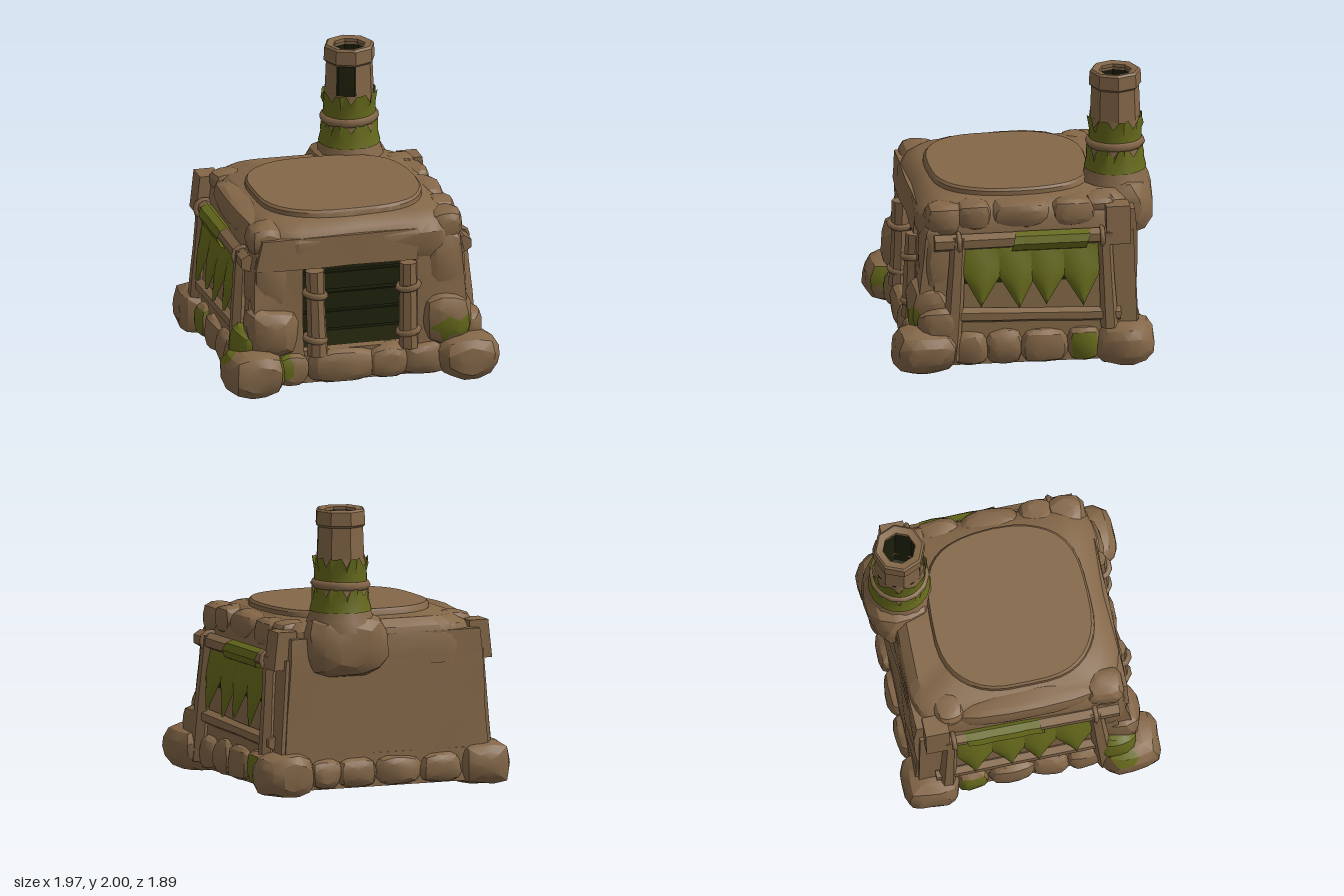
import * as THREE from 'three';
import { toCreasedNormals, mergeVertices } from 'three/addons/utils/BufferGeometryUtils.js';

const mat = (name, color) => new THREE.MeshStandardMaterial({ name, color, side: THREE.DoubleSide });

export function createModel() {
  const group = new THREE.Group();
  const stone = mat('brown stone', 0x846748);
  const leaf = mat('moss green', 0x666a1b);
  const dark = mat('dark interior', 0x1f210c);

  const add = (name, geo, material = stone) => {
    const m = new THREE.Mesh(geo, material);
    m.name = name;
    group.add(m);
    return m;
  };
  const crease = (g, a = 0.55) => toCreasedNormals(g, a);
  const wobble = (x, y, z, s) => Math.sin(9 * x + s) * Math.sin(8 * y + 2 * s) + Math.sin(10 * z + 3 * s) * Math.cos(7 * x - s);
  const warp = (g, rule) => {
    const p = g.attributes.position, v = new THREE.Vector3();
    for (let i = 0; i < p.count; i++) {
      rule(v.fromBufferAttribute(p, i));
      p.setXYZ(i, v.x, v.y, v.z);
    }
    return g;
  };

  // Squarish boulder, flattened at floor, with an optional mossy region
  const rock = (name, c, r, seed, floor = 0, moss = null) => {
    const g = warp(new THREE.IcosahedronGeometry(1, 2), v => {
      const n = Math.cbrt(Math.abs(v.x) ** 3 + Math.abs(v.y) ** 3 + Math.abs(v.z) ** 3);
      v.divideScalar(n);
      v.multiplyScalar(0.97 + 0.05 * wobble(v.x * 0.4, v.y * 0.4, v.z * 0.4, seed));
      v.set(c[0] + v.x * r[0], Math.max(floor, c[1] + v.y * r[1]), c[2] + v.z * r[2]);
    });
    const geo = crease(g, 0.4);
    if (!moss) return add(name, geo);
    const p = geo.attributes.position, a = new THREE.Vector3(), b = new THREE.Vector3();
    for (let i = 0; i < p.count; i += 3) {
      a.set(0, 0, 0);
      for (let k = 0; k < 3; k++) a.add(b.fromBufferAttribute(p, i + k));
      geo.addGroup(i, 3, moss(a.divideScalar(3)) ? 1 : 0);
    }
    return add(name, geo, [stone, leaf]);
  };

  // Rough timber between two points
  const log = (name, from, to, r, seed = 1, sides = 7) => {
    const a = new THREE.Vector3(...from), b = new THREE.Vector3(...to), d = b.clone().sub(a);
    const g = warp(new THREE.CylinderGeometry(r * 0.92, r, d.length(), sides, 4), v => {
      const k = 1 + 0.07 * wobble(v.x, v.y, v.z, seed);
      v.x *= k; v.z *= k;
    });
    const m = add(name, crease(g));
    m.position.copy(a).add(b).multiplyScalar(0.5);
    m.quaternion.setFromUnitVectors(new THREE.Vector3(0, 1, 0), d.normalize());
    return m;
  };

  // Box leaning between bottom and top rectangles [x0, x1, z0, z1]
  const slab = (name, y0, y1, bot, top, rough = 0) => {
    const mix = THREE.MathUtils.lerp;
    const g = warp(new THREE.BoxGeometry(1, 1, 1, 5, 5, 5), v => {
      const t = v.y + 0.5, q = bot.map((n, i) => mix(n, top[i], t));
      v.set(mix(q[0], q[1], v.x + 0.5), mix(y0, y1, t), mix(q[2], q[3], v.z + 0.5));
      v.z += rough * wobble(v.x, v.y, 0, 2);
    });
    return add(name, crease(g));
  };

  // Stacked rounded-square sections [y, halfX, zBack, zFront]
  const loft = (name, rows, e, rough, n = 40) => {
    const pos = [], idx = [];
    const pw = c => Math.sign(c) * Math.abs(c) ** e;
    const ring = rows.length;
    rows.forEach(([y, hx, zb, zf]) => {
      for (let i = 0; i < n; i++) {
        const a = i / n * Math.PI * 2, x = hx * pw(Math.cos(a)), z = (zb + zf) / 2 + (zf - zb) / 2 * pw(Math.sin(a));
        const k = 1 + rough * wobble(x, y, z, 1.3);
        pos.push(x * k, y, z * k);
      }
    });
    for (let j = 0; j < ring - 1; j++) for (let i = 0; i < n; i++) {
      const a = j * n + i, b = j * n + (i + 1) % n;
      idx.push(a, a + n, b, b, a + n, b + n);
    }
    for (const [j, up] of [[0, 0], [ring - 1, 1]]) {
      const c = pos.length / 3;
      pos.push(0, rows[j][0], (rows[j][2] + rows[j][3]) / 2);
      for (let i = 0; i < n; i++) {
        const a = j * n + i, b = j * n + (i + 1) % n;
        idx.push(...(up ? [c, b, a] : [c, a, b]));
      }
    }
    const g = new THREE.BufferGeometry();
    g.setAttribute('position', new THREE.Float32BufferAttribute(pos, 3));
    g.setIndex(idx);
    return add(name, crease(mergeVertices(g), 0.6));
  };

  // Floor, back wall, roof mass and flat roof stone
  slab('floor', 0.035, 0.27, [-0.82, 0.82, -0.81, 0.74], [-0.8, 0.8, -0.8, 0.74]);
  slab('backWall', 0.2, 1.1, [-0.78, 0.78, -0.8, -0.62], [-0.72, 0.72, -0.78, -0.6], 0.016);
  loft('roofMass', [[0.875, 0.775, -0.79, 0.71], [0.95, 0.775, -0.79, 0.735], [1.07, 0.76, -0.79, 0.735],
    [1.14, 0.72, -0.77, 0.69], [1.195, 0.63, -0.7, 0.6]], 0.3, 0.016);
  loft('roofStone', [[1.15, 0.6, -0.54, 0.61], [1.225, 0.595, -0.53, 0.6], [1.242, 0.58, -0.52, 0.585]], 0.72, 0.01);

  // Dark alcove, open to the front, with boards across the rear
  const room = new THREE.BoxGeometry(0.816, 0.595, 0.3);
  room.setIndex([...room.index.array].filter((_, i) => i < 24 || i > 29));
  add('alcove', room, dark).position.set(0, 0.5725, 0.53);
  for (let i = 0; i < 4; i++)
    add('rearBoard', new THREE.BoxGeometry(0.8, 0.12, 0.02), dark).position.set(0, 0.36 + i * 0.145, 0.395 + 0.01 * (i % 2));

  for (const s of [-1, 1]) {
    const X = (a, b) => s > 0 ? [a, b] : [-b, -a];
    // Side wall and front wall beside the doorway
    slab('sideWall', 0.2, 0.95, [...X(0.5, 0.81), -0.78, 0.66], [...X(0.5, 0.755), -0.76, 0.64]);
    slab('frontWall', 0.2, 0.95, [...X(0.41, 0.79), 0.45, 0.77], [...X(0.41, 0.745), 0.45, 0.71], 0.014);
    rock('frontBulge', [s * 0.63, 0.42, 0.66], [0.2, 0.2, 0.17], 2 + s, 0, v => v.y > 0.3 && v.y < 0.43 && v.z > 0.7 && s * v.x > 0.53 && s > 0);
    rock('cornerStone', [s * 0.62, 0.78, 0.6], [0.17, 0.3, 0.14], 4 + s);
    rock('shoulder', [s * 0.65, 1.07, 0.57], [0.13, 0.12, 0.14], 5 + s);
    rock('frontFlank', [s * 0.785, 0.34, 0.62], [0.12, 0.13, 0.15], 6 + s, 0, v => s < 0 && v.y > 0.22);

    // Foundation boulders
    rock('frontFoot', [s * 0.765, 0.15, 0.72], [0.22, 0.175, 0.23], 1 + s, 0,
      v => s < 0 && ((v.x > -0.61 && v.y > 0.12 && v.y < 0.27) || (v.x < -0.82 && v.y > 0.23 && v.z < 0.74)));
    rock('backFoot', [s * 0.75, 0.14, -0.69], [0.21, 0.17, 0.21], 8 + s);
    [[0.4, 0.13], [0.16, 0.14], [-0.12, 0.17], [-0.4, 0.12]].forEach(([z, w], i) =>
      rock('sideFootStone', [s * 0.78, 0.15, z], [0.1, 0.13, w], i + 3 * s, 0.035, v => i === 3 && Math.abs(v.z + 0.4) < 0.09 && v.y < 0.24));

    // Timber frame of the side window
    log('sidePostFront', [s * 0.845, 0.08, 0.54], [s * 0.785, 0.97, 0.48], 0.062, 1, 6);
    log('sidePostBack', [s * 0.825, 0.27, -0.58], [s * 0.78, 0.97, -0.55], 0.058, 2, 6);
    log('sideTopRail', [s * 0.78, 0.925, 0.65], [s * 0.78, 0.935, -0.6], 0.062, 3, 6);
    log('sideLowRail', [s * 0.803, 0.4, 0.5], [s * 0.803, 0.36, -0.66], 0.052, 4, 6);
    for (const z of [0.48, -0.53]) {
      const rope = add('railRope', new THREE.TorusGeometry(0.063, 0.018, 5, 10));
      rope.position.set(s * 0.785, 0.93, z);
    }
    slab('cornerBlock', 0.88, 1.15, [...X(0.68, 0.835), -0.73, -0.56], [...X(0.66, 0.805), -0.73, -0.56]);
    const shade = add('windowShade', new THREE.BoxGeometry(0.008, 0.24, 0.85), dark);
    shade.position.set(s * 0.7725, 0.74, 0.015);
    shade.rotation.z = s * 0.073;

    // Hanging leaves, joined above and pointed below
    [0.31, 0.08, -0.15, -0.37].forEach((z0, i) => {
      const g = warp(new THREE.PlaneGeometry(1, 1, 6, 10), v => {
        const t = 0.5 - v.y, w = 0.26 * Math.min(1, 1.9 * (1 - t)) + 0.004;
        const fold = Math.cos(v.x * Math.PI);
        const sway = (i % 2 ? -0.02 : 0.02) * t;
        v.set(s * (0.795 + 0.07 * t + 0.035 * fold * Math.sin(t * 2.6)), 0.885 - (0.41 + 0.02 * (i % 2)) * t, z0 + v.x * w + sway);
      });
      add('hangingLeaf', crease(g, 0.7), leaf);
    });
    const cover = warp(new THREE.CylinderGeometry(0.073, 0.073, 0.53, 8, 6, true), v => {
      v.x *= 1 + 0.06 * Math.sin(v.y * 30);
      v.y += 0.25 * v.z;
    });
    cover.rotateX(Math.PI / 2);
    add('railMoss', crease(cover), leaf).position.set(s * 0.783, 0.92, -0.165);

    // Stones around the roof edge: separate on one side, one long ledge on the other
    (s > 0 ? [[0.36, 0.13], [0.03, 0.22], [-0.34, 0.16]] : [[0.0, 0.5]]).forEach(([z, w], i) =>
      rock('roofEdgeStone', [s * 0.675, 1.095, z], [0.105, 0.105, w], i * 2 + s));
    rock('roofBackStone', [s * 0.62, 1.12, -0.53], [0.12, 0.085, 0.11], 7 + s);

    // Doorway pillars with rope bindings
    const px = s > 0 ? 0.35 : -0.325;
    log('doorPillar', [px + (s < 0 ? 0.015 : 0), 0.24, 0.75], [px, 0.86, 0.73], 0.072, 5 + s, 8);
    for (const y of [0.36, 0.69]) {
      const rope = add('pillarRope', new THREE.TorusGeometry(0.072, 0.025, 5, 10));
      rope.rotation.set(Math.PI / 2, 0.15 * s, 0);
      rope.position.set(px, y, 0.74);
    }
  }

  // Front and rear foundation stones
  [[-0.5, 0.12], [-0.13, 0.27], [0.2, 0.15], [0.45, 0.17]].forEach(([x, w], i) =>
    rock('frontFootStone', [x, 0.15, 0.73], [w, 0.125, 0.1], i + 2, 0.035, v => i === 0 && v.x < -0.5 && v.y > 0.12));
  [[-0.4, 0.17], [-0.08, 0.18], [0.24, 0.16], [0.48, 0.13]].forEach(([x, w], i) =>
    rock('backFootStone', [x, 0.14, -0.77], [w, 0.11, 0.1], i + 5, 0.035));
  // Lintel over the doorway
  slab('lintel', 0.88, 1.1, [-0.75, 0.42, 0.5, 0.745], [-0.7, 0.42, 0.5, 0.73], 0.01);

  // Chimney
  const cx = 0.31, cz = -0.69;
  rock('chimneyRoot', [0.3, 1.04, -0.71], [0.31, 0.24, 0.235], 3);
  const turned = (name, pts, m, n = 8) => {
    const mesh = add(name, crease(new THREE.LatheGeometry(pts.map(p => new THREE.Vector2(...p)), n), 0.5), m);
    mesh.position.set(cx, 0, cz);
    return mesh;
  };
  turned('chimneyBase', [[0.255, 1.14], [0.235, 1.22], [0.2, 1.3], [0.178, 1.45], [0.172, 1.66]], stone, 16);
  // Upper shaft leaves one side open
  const shaft = new THREE.CylinderGeometry(0.168, 0.178, 0.24, 7, 1, true, 0, Math.PI * 1.75);
  add('chimneyShaft', crease(shaft), stone).position.set(cx, 1.77, cz);
  turned('chimneyCollar', [[0.165, 1.87], [0.185, 1.89], [0.18, 1.985], [0.165, 2], [0.115, 1.99], [0.115, 1.95]], stone);
  turned('chimneyFlue', [[0.01, 1.35], [0.15, 1.36], [0.148, 1.88], [0.113, 1.97]], dark);

  // Leaf bands with ragged upper edges, tied by a rope
  [[1.28, 0.14, 0.218, 0.185], [1.49, 0.14, 0.185, 0.182]].forEach(([y, h, r0, r1], j) => {
    const n = 32;
    const g = warp(new THREE.CylinderGeometry(r1, r0, h, n, 2, true), v => {
      const i = Math.round(Math.atan2(v.x, v.z) / (2 * Math.PI) * n) + n;
      if (v.y > h * 0.4) {
        const k = 1 + 0.05 * ((i * 7) % 3);
        v.x *= k; v.z *= k;
        v.y += [0.03, 0.025, 0.035, -0.03][i % 4];
      }
    });
    add('chimneyLeaves' + (j ? 'Upper' : 'Lower'), crease(g, 0.5), leaf).position.set(cx, y + h / 2, cz);
  });
  const tie = add('chimneyRope', new THREE.TorusGeometry(0.178, 0.034, 6, 14));
  tie.rotation.set(Math.PI / 2, 0.04, 0);
  tie.position.set(cx, 1.465, cz);

  return group;
}
